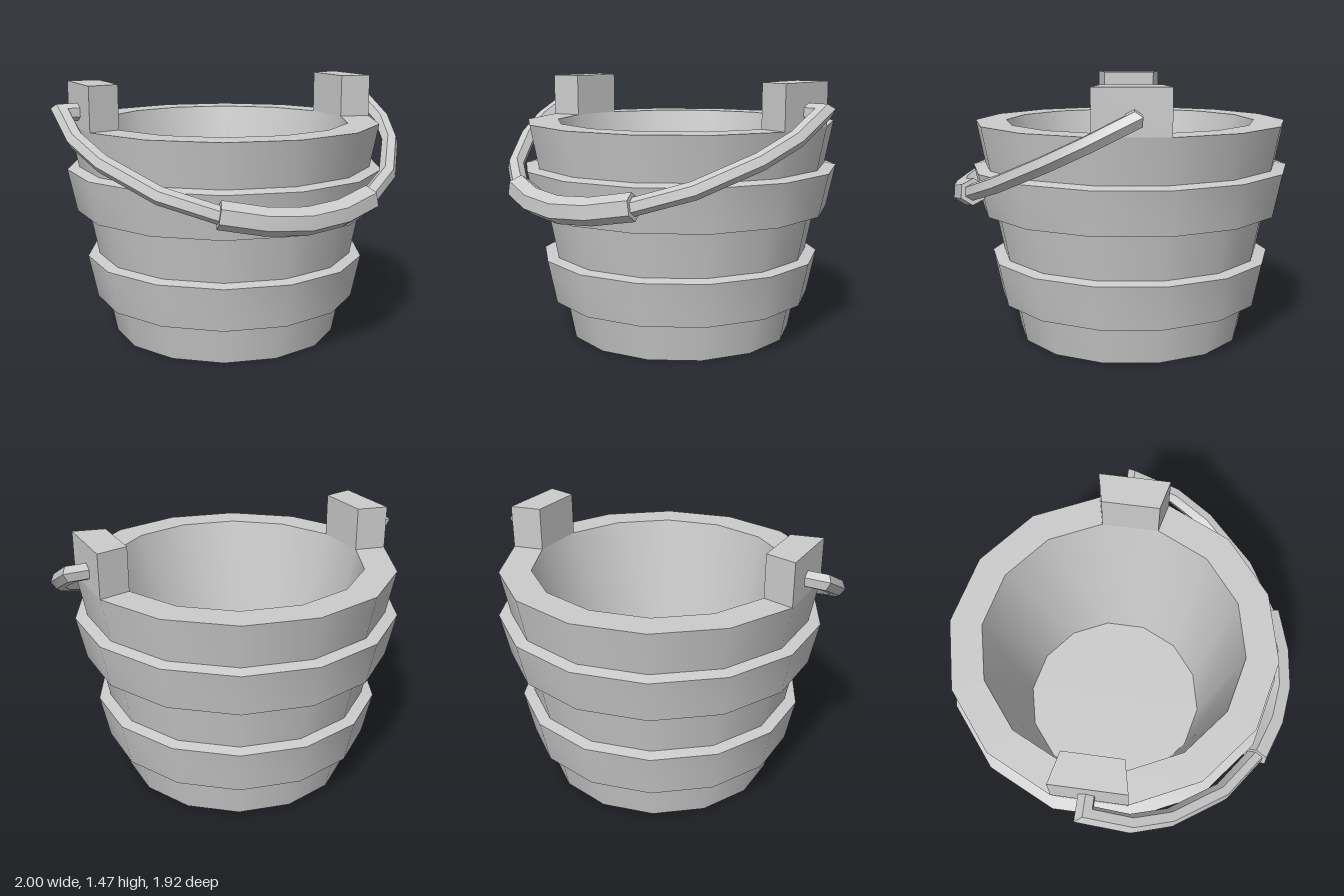
import * as THREE from 'three';
import { toCreasedNormals } from 'three/addons/utils/BufferGeometryUtils.js';

const SIDES = 14, CREASE = 0.6, CENTRE_Z = -0.055;
const RIM_Y = 1.23, RIM_OUT = 0.885, RIM_IN = 0.71;
const material = new THREE.MeshStandardMaterial({ color: 0xcccccc });

function addMesh(parent, name, geometry) {
  const mesh = new THREE.Mesh(toCreasedNormals(geometry, CREASE), material);
  mesh.name = name;
  parent.add(mesh);
  return mesh;
}

function lathe(profile) {
  return new THREE.LatheGeometry(profile.map(([r, y]) => new THREE.Vector2(r, y)), SIDES);
}

// Hexagonal bar with mitred joints along a path [x, z] in the y = 0 plane
function hexBar(path, radius) {
  const pts = path.map(([x, z]) => new THREE.Vector2(x, z));
  const n = pts.length, positions = [], index = [];
  pts.forEach((p, i) => {
    const before = pts[i].clone().sub(pts[Math.max(i - 1, 0)]).normalize();
    const after = pts[Math.min(i + 1, n - 1)].clone().sub(p).normalize();
    const dir = before.clone().add(after).normalize();
    const mitre = 1 / dir.dot(i < n - 1 ? after : before);
    for (let k = 0; k < 6; k++) {
      const a = k * Math.PI / 3, s = Math.cos(a) * radius * mitre;
      positions.push(p.x + dir.y * s, Math.sin(a) * radius, p.y - dir.x * s);
    }
  });
  for (let i = 0; i < n - 1; i++) {
    for (let k = 0; k < 6; k++) {
      const a = i * 6 + k, b = i * 6 + (k + 1) % 6;
      index.push(a, b, a + 6, b, b + 6, a + 6);
    }
  }
  // End caps
  const e = (n - 1) * 6;
  for (let k = 1; k < 5; k++) index.push(0, k + 1, k, e, e + k, e + k + 1);
  // Make the winding face outwards
  const g = new THREE.BufferGeometry();
  g.setAttribute('position', new THREE.Float32BufferAttribute(positions, 3));
  g.setIndex(index);
  const v = k => new THREE.Vector3().fromArray(positions, k * 3);
  const normal = v(1).sub(v(0)).cross(v(6).sub(v(0)));
  const outward = v(0).add(v(1)).sub(new THREE.Vector3(pts[0].x, 0, pts[0].y).multiplyScalar(2));
  if (normal.dot(outward) < 0) g.setIndex(index.reverse());
  return g;
}

const mirrorPath = half => [...half, ...half.slice(0, -1).reverse().map(([x, z]) => [-x, z])];

export function createModel() {
  const model = new THREE.Group();
  model.name = 'bucket';

  const tub = new THREE.Group();
  tub.name = 'tub';
  tub.position.z = CENTRE_Z;
  model.add(tub);

  // Hollow tapered wall with floor
  addMesh(tub, 'wall', lathe([
    [0, 0], [0.648, 0], [RIM_OUT, RIM_Y], [RIM_IN, RIM_Y], [0.527, 0.26], [0, 0.26],
  ]));

  // Two hoops with slightly sloping tops
  addMesh(tub, 'lowerHoop', lathe([[0.67, 0.22], [0.755, 0.22], [0.805, 0.465], [0.72, 0.482]]));
  addMesh(tub, 'upperHoop', lathe([[0.77, 0.735], [0.855, 0.735], [0.905, 0.975], [0.82, 0.992]]));

  // Ears: one rim segment on each side raised straight up
  const half = Math.PI / SIDES;
  const corner = (r, a) => new THREE.Vector2(r * Math.cos(a), r * Math.sin(a));
  const earShape = new THREE.Shape([
    corner(RIM_IN, -half), corner(RIM_OUT, -half), corner(RIM_OUT, half), corner(RIM_IN, half),
  ]);
  for (const [name, turn] of [['leftEar', 0], ['rightEar', Math.PI]]) {
    const geometry = new THREE.ExtrudeGeometry(earShape, { depth: 0.24, bevelEnabled: false });
    const ear = addMesh(tub, name, geometry.rotateX(-Math.PI / 2));
    ear.position.y = RIM_Y;
    ear.rotation.y = turn;
  }

  // Swing handle, hanging forward from the ears
  const handle = new THREE.Group();
  handle.name = 'handle';
  handle.position.set(0, 1.317, -0.065);
  handle.rotation.x = 0.468;
  model.add(handle);
  addMesh(handle, 'bail', hexBar(mirrorPath([
    [0.84, 0], [0.952, 0], [0.946, 0.255], [0.87, 0.472], [0.67, 0.765],
    [0.425, 0.955], [0.21, 1.04], [0, 1.07],
  ]), 0.047));
  addMesh(handle, 'grip', hexBar(mirrorPath([[0.43, 0.952], [0.21, 1.04], [0, 1.07]]), 0.073));

  return model;
}
